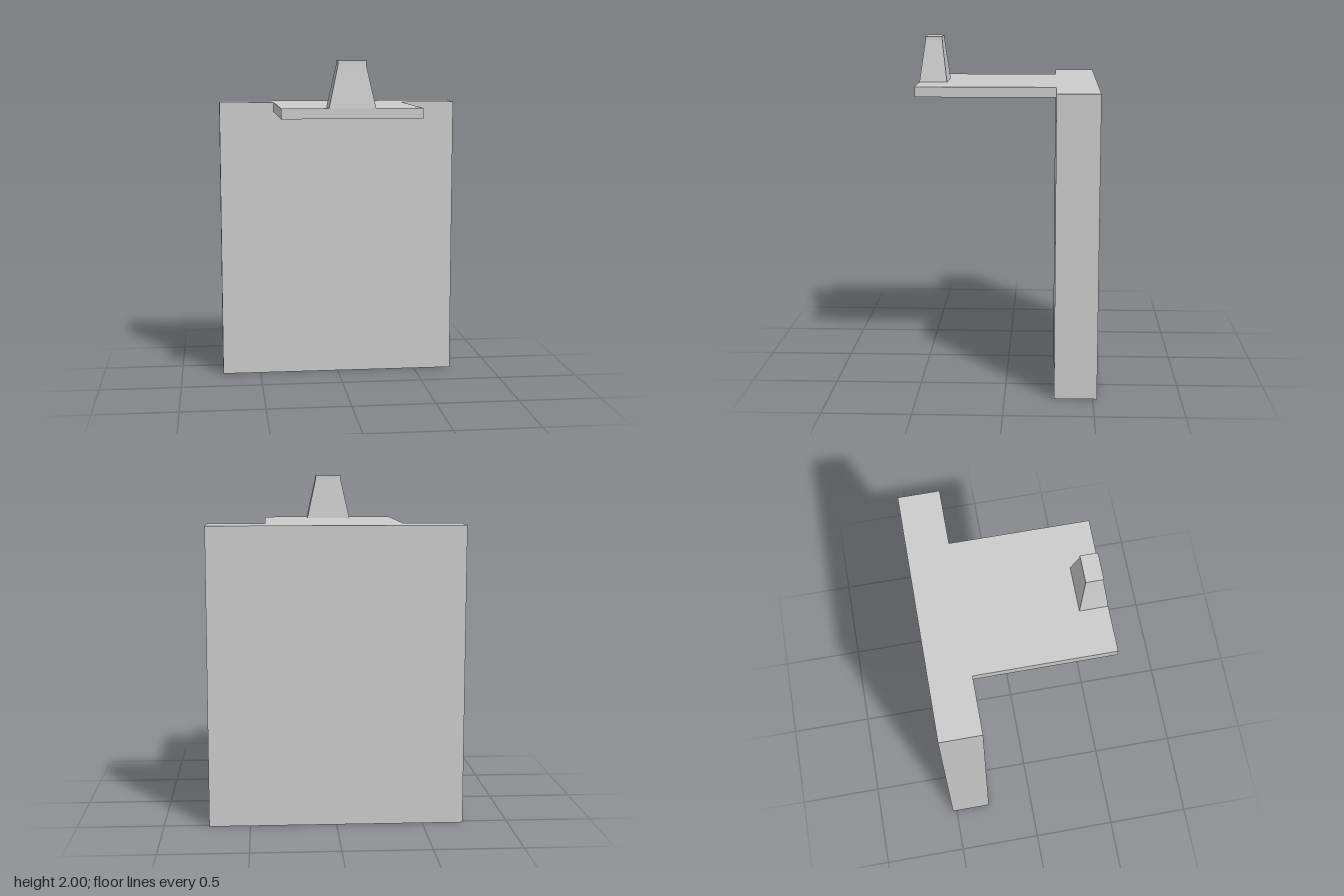
import * as THREE from 'three';

const material = new THREE.MeshStandardMaterial({ color: 0xcccccc });

// Box given by its min and max corners
function block(name, [x0, y0, z0], [x1, y1, z1]) {
  const mesh = new THREE.Mesh(new THREE.BoxGeometry(x1 - x0, y1 - y0, z1 - z0), material);
  mesh.position.set((x0 + x1) / 2, (y0 + y1) / 2, (z0 + z1) / 2);
  mesh.name = name;
  return mesh;
}

// Tapered post with a short upright rim at the top
function taperedPost() {
  const levels = [
    { y: 1.735, halfX: 0.133, z0: 0.362, z1: 0.525 },
    { y: 1.975, halfX: 0.08, z0: 0.392, z1: 0.492 },
    { y: 2, halfX: 0.08, z0: 0.392, z1: 0.492 },
  ];
  const geometry = new THREE.BoxGeometry(2, 2, 2, 1, 2, 1);
  const p = geometry.attributes.position;
  for (let i = 0; i < p.count; i++) {
    const level = levels[Math.round(p.getY(i)) + 1];
    p.setXYZ(i, p.getX(i) * level.halfX, level.y, p.getZ(i) > 0 ? level.z1 : level.z0);
  }
  geometry.computeVertexNormals();
  const mesh = new THREE.Mesh(geometry, material);
  mesh.name = 'post';
  return mesh;
}

export function createModel() {
  const model = new THREE.Group();
  model.name = 'wallWithShelf';
  model.add(
    block('wall', [-0.738, 0, -0.525], [0.738, 1.735, -0.282]),
    block('shelf', [-0.401, 1.676, -0.282], [0.401, 1.735, 0.525]),
    taperedPost(),
  );
  return model;
}
